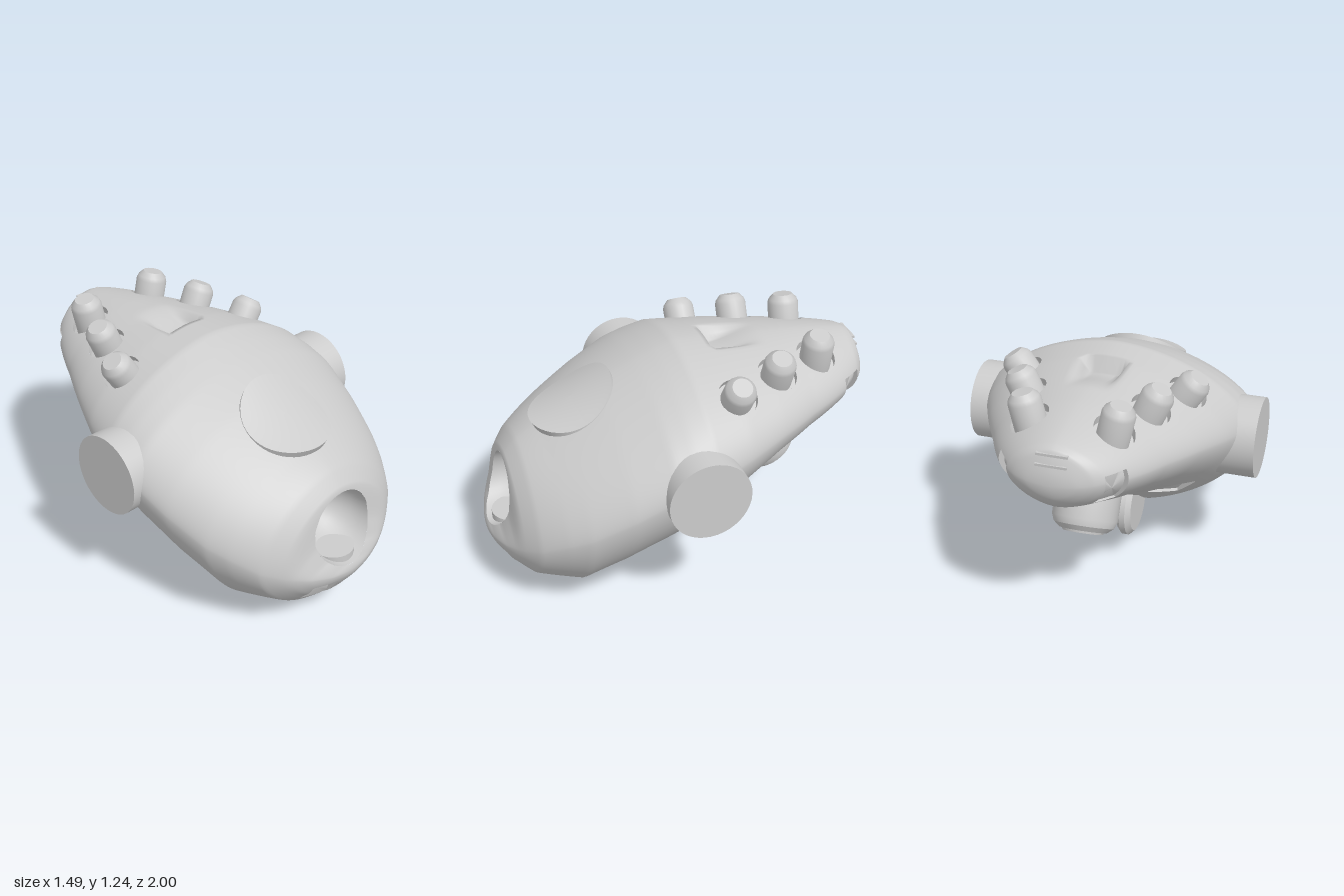
import * as THREE from 'three';
import { toCreasedNormals } from 'three/addons/utils/BufferGeometryUtils.js';

const grey = new THREE.MeshStandardMaterial({ color: 0xcccccc });
const greyDouble = new THREE.MeshStandardMaterial({ color: 0xcccccc, side: THREE.DoubleSide });
const V = (x, y, z) => new THREE.Vector3(x, y, z);
const UP = V(0, 1, 0);
const { lerp, smoothstep } = THREE.MathUtils;

// Hull sections from nose to tail: z, top, bottom, half width, height of widest point
const SECTIONS = [
  [1, .31, .31, 0, .31], [.985, .355, .265, .13, .32], [.95, .42, .215, .25, .345], [.915, .53, .165, .325, .37],
  [.89, .715, .145, .37, .39], [.82, .80, .075, .465, .43], [.7, .875, .035, .555, .495], [.6, .935, 0, .61, .54],
  [.4, 1.045, .095, .675, .65], [.2, 1.135, .19, .715, .76], [.1, 1.175, .24, .715, .785], [0, 1.21, .305, .695, .81],
  [-.2, 1.2, .455, .625, .85], [-.4, 1.18, .575, .535, .885], [-.6, 1.165, .66, .43, .91], [-.8, 1.14, .745, .325, .935],
  [-.92, 1.12, .795, .235, .955], [-.955, 1.105, .83, .19, .955], [-.985, 1.03, .875, .12, .95], [-1, .945, .945, 0, .945],
];

// Depth of the scoop on the spine: a steep front wall and a floor rising to the rear
function scoop(x, z) {
  return z > -.17 ? 0 : .08 * smoothstep(z, -.47, -.17) * (1 - smoothstep(Math.abs(x), .07, .125));
}

function hullGeometry(rows = 150, cols = 160) {
  const curve = new THREE.LinearInterpolant(
    SECTIONS.map(s => Math.acos(s[0])), SECTIONS.flatMap(s => s.slice(1)), 4);
  const pos = [], index = [];
  const pow = c => Math.sign(c) * Math.abs(c) ** (2 / 1.75);
  for (let i = 0; i <= rows; i++) {
    const a = Math.PI * i / rows, z = Math.cos(a);
    const [top, bottom, w, mid] = curve.evaluate(a);
    for (let j = 0; j < cols; j++) {
      const t = 2 * Math.PI * j / cols, s = pow(Math.sin(t)), x = w * pow(Math.cos(t));
      pos.push(x, mid + (s > 0 ? s * (top - mid) - scoop(x, z) * smoothstep(s, .3, .8) : s * (mid - bottom)), z);
      if (i === rows) continue;
      const p = i * cols + j, q = i * cols + (j + 1) % cols;
      index.push(p, p + cols, q, q, p + cols, q + cols);
    }
  }
  const g = new THREE.BufferGeometry();
  g.setAttribute('position', new THREE.Float32BufferAttribute(pos, 3));
  g.setIndex(index);
  g.computeVertexNormals();
  return g;
}

// Opens a round or square pocket in the hull and returns its lining.
// The depth runs from depth * ramp at the lower edge to depth at the upper edge.
function cutPocket(hull, skin, { at, dir, roll = 0, w, h = w, depth, ramp = 1, square = false, bowl = false }) {
  const ray = new THREE.Raycaster();
  const d = V(...dir).normalize(), back = d.clone().negate();
  const hit = p => {
    ray.set(p.clone().addScaledVector(d, .4), back);
    const found = ray.intersectObject(skin)[0];
    return found ? found.point : p;
  };
  const frame = new THREE.Object3D();
  frame.position.copy(hit(V(...at)));
  frame.lookAt(frame.position.clone().add(d));
  frame.rotateZ(roll);
  frame.updateMatrixWorld();
  const norm = (u, v) => square ? Math.max(Math.abs(u), Math.abs(v)) : Math.hypot(u, v);
  const onSkin = (u, v) => frame.worldToLocal(hit(frame.localToWorld(V(u * w, v * h, 0))));

  // Drop the faces inside and snap the edge to the outline
  const pos = hull.attributes.position, inside = new Set();
  for (let i = 0; i < pos.count; i++) {
    const p = frame.worldToLocal(V(0, 0, 0).fromBufferAttribute(pos, i));
    const n = norm(p.x / w, p.y / h);
    if (n >= 1 || Math.abs(p.z) > .22) continue;
    inside.add(i);
    const k = Math.max(n, 1e-4);
    const q = frame.localToWorld(onSkin(p.x / w / k, p.y / h / k));
    pos.setXYZ(i, q.x, q.y, q.z);
  }
  const old = hull.index.array, kept = [];
  for (let i = 0; i < old.length; i += 3) {
    const f = [old[i], old[i + 1], old[i + 2]];
    if (!f.every(k => inside.has(k))) kept.push(...f);
  }
  hull.setIndex(kept);

  // Lining: rings from the rim to the centre of the floor
  const N = 48, steps = bowl ? 8 : 2, pts = [], index = [];
  const rim = Array.from({ length: N }, (_, j) => {
    const c = Math.cos(2 * Math.PI * j / N), s = Math.sin(2 * Math.PI * j / N), n = norm(c, s);
    return { u: c / n, v: s / n, z: onSkin(c / n, s / n).z };
  });
  for (let k = 0; k <= steps; k++) {
    const t = k / steps * Math.PI / 2;
    const scale = bowl ? Math.cos(t) : (k < 2 ? 1 : 0);
    rim.forEach(({ u, v, z }, j) => {
      const deep = depth * lerp(ramp, 1, (v * scale + 1) / 2);
      const y = bowl ? lerp(z, -depth, Math.sin(t)) : k === 0 ? z : z * scale - deep;
      pts.push(...frame.localToWorld(V(u * w * scale, v * h * scale, y)).toArray());
      if (k === steps) return;
      const p = k * N + j, q = k * N + (j + 1) % N;
      index.push(p, q, p + N, q, q + N, p + N);
    });
  }
  const g = new THREE.BufferGeometry();
  g.setAttribute('position', new THREE.Float32BufferAttribute(pts, 3));
  g.setIndex(index);
  return toCreasedNormals(g, .7);
}

// Turned part whose tip is at the given point, pointing along dir
function turned(profile, tip, dir, segments = 32) {
  const pts = profile.map(([r, y]) => new THREE.Vector2(r, y));
  const mesh = new THREE.Mesh(toCreasedNormals(new THREE.LatheGeometry(pts, segments), .5), grey);
  mesh.position.set(...tip);
  mesh.quaternion.setFromUnitVectors(UP, V(...dir).normalize());
  return mesh;
}

export function createModel() {
  const group = new THREE.Group();
  const add = (name, mesh) => { mesh.name = name; group.add(mesh); return mesh; };

  const hull = hullGeometry();
  const skin = new THREE.Mesh(hull.clone(), greyDouble);
  const pocket = (name, o) => add(name, new THREE.Mesh(cutPocket(hull, skin, o), greyDouble));

  // Centre-line openings
  pocket('noseBowl', { at: [0, .525, .92], dir: [0, 0, 1], w: .19, h: .18, depth: .26, bowl: true });
  pocket('thrusterSocket', { at: [0, .61, -.455], dir: [0, -.86, -.51], w: .19, depth: .06 });
  pocket('wheelSlot', { at: [0, .3, .01], dir: [0, -.86, -.51], w: .15, h: .15, depth: .1, square: true });

  // Knob tips with their axes
  const knobs = [
    { tip: [.235, 1.23, -.69], dir: [.22, .97, 0] },
    { tip: [.355, 1.21, -.44], dir: [.4, .91, 0] },
    { tip: [.475, 1.165, -.19], dir: [.55, .83, 0] },
  ];
  for (const s of [1, -1]) {
    const side = s > 0 ? 'left' : 'right';
    const flip = ([x, y, z]) => [s * x, y, z];

    knobs.forEach(({ tip, dir }, i) => {
      const base = tip.map((c, k) => c - dir[k] * .13);
      pocket(`${side}KnobSocket${i + 1}`, { at: flip(base), dir: flip(dir), w: .1, depth: .04 });
      add(`${side}Knob${i + 1}`, turned(
        [[.08, -.2], [.08, -.045], [.073, -.025], [.05, 0], [0, 0]], flip(tip), flip(dir), 24));
    });

    pocket(`${side}FrontVent`, { at: flip([.15, .22, .92]), dir: flip([.08, -.25, 1]),
      w: .07, h: .07, depth: .05, ramp: 0, square: true });
    pocket(`${side}BellyVent`, { at: flip([.34, .5, -.15]), dir: flip([.3, -.82, -.48]), roll: s * .35,
      w: .1, h: .09, depth: .05, ramp: .3, square: true });
    pocket(`${side}TailVent`, { at: flip([.25, .9, -.86]), dir: flip([.88, -.15, -.4]),
      w: .06, h: .09, depth: .03, ramp: .5, square: true });

    // Side drums
    add(`${side}SideDrum`, turned([[.205, -.3], [.205, 0], [0, 0]], [s * .745, .75, .06], [s, 0, 0], 40));

    // Belly wheels
    add(`${side}BellyWheel`, turned(
      [[0, -.075], [.15, -.075], [.172, -.055], [.172, -.025], [.145, 0], [0, 0]],
      [s * .125, .292, -.012], [s, 0, 0], 40));
  }

  // Hull, added once all pockets are open
  add('hull', new THREE.Mesh(hull, grey));

  // Thruster under the tail
  add('thruster', turned(
    [[.163, -.25], [.163, -.06], [.15, -.025], [.12, 0], [.105, 0], [.1, .012], [0, .012]],
    [0, .44, -.55], [0, -.86, -.51], 40));

  // Disc in the floor of the nose bowl
  add('bowlDisc', turned([[.11, -.04], [.11, 0], [0, 0]], [0, .385, .855], [0, 1, 0]));

  // Round hatch, saddle-shaped so that only its front and rear edges stand proud
  const rim = new THREE.CylinderGeometry(.23, .23, .06, 48, 1, true);
  const top = new THREE.RingGeometry(0, .23, 48, 8).rotateX(-Math.PI / 2).translate(0, .03, 0);
  const hatch = new THREE.Group();
  for (const g of [rim, top]) {
    const p = g.attributes.position;
    for (let i = 0; i < p.count; i++) {
      p.setY(i, p.getY(i) + .3 * p.getZ(i) ** 2 - .75 * p.getX(i) ** 2);
    }
    g.computeVertexNormals();
    hatch.add(new THREE.Mesh(g, grey));
  }
  hatch.position.set(0, .962, .515);
  hatch.rotation.x = Math.atan(.5);
  add('hatch', hatch);

  // Thin ribs across the tail
  for (const [i, [y, z]] of [[1.085, -.957], [1.04, -.974]].entries()) {
    const rib = add(`tailRib${i + 1}`, new THREE.Mesh(new THREE.BoxGeometry(.15, .012, .022), grey));
    rib.position.set(0, y, z);
  }
  return group;
}
